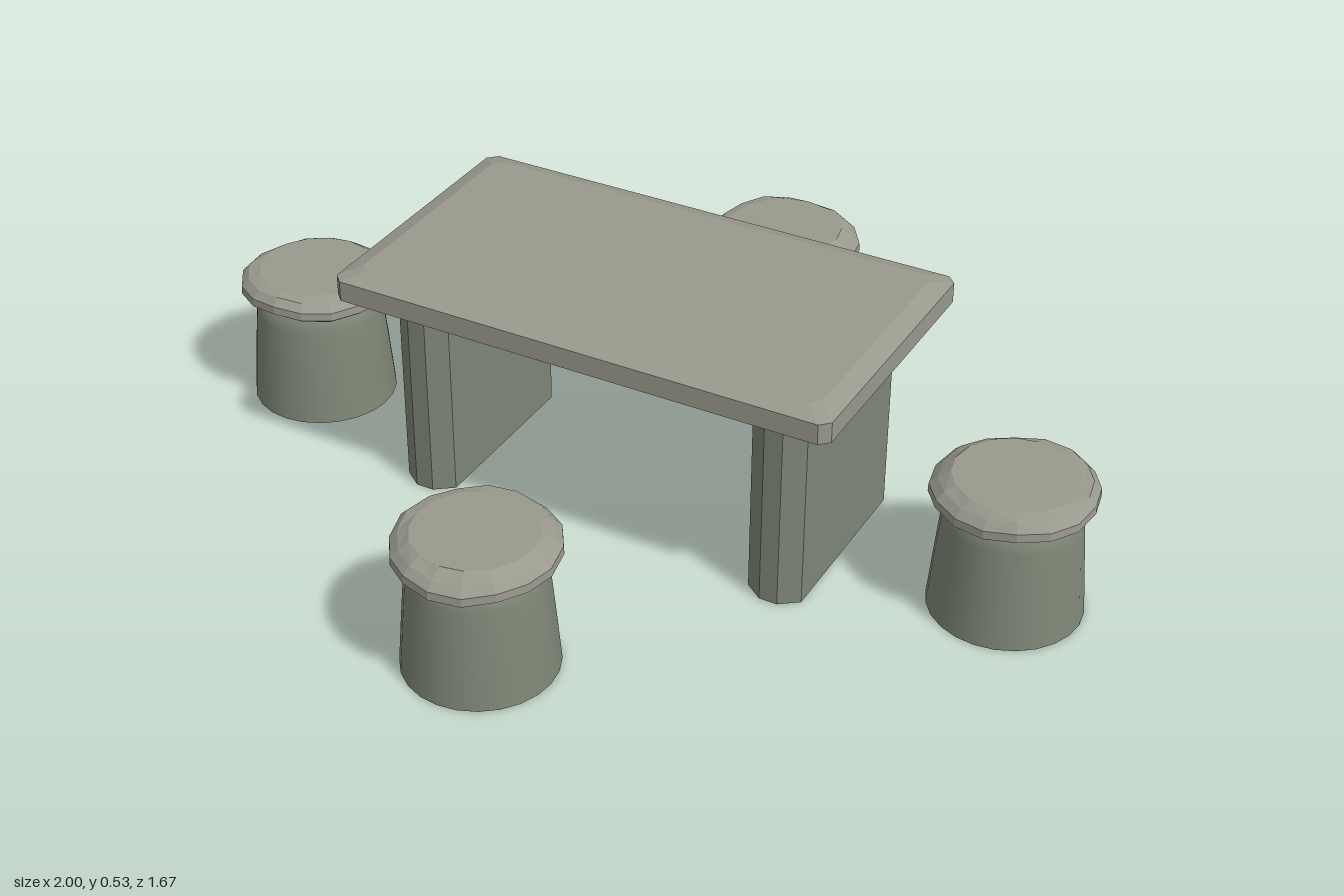
import * as THREE from 'three';
import { ConvexGeometry } from 'three/addons/geometries/ConvexGeometry.js';

const topStone = new THREE.MeshStandardMaterial({ color: 0x9a998d });
topStone.name = 'paleStone';
const baseStone = new THREE.MeshStandardMaterial({ color: 0x7f8777 });
baseStone.name = 'greenStone';

// Octagonal ring: a rectangle with cut corners (half sizes hx, hz; cuts cx, cz)
function ring(y, hx, hz, cx, cz) {
  const points = [];
  for (const sx of [-1, 1]) {
    for (const sz of [-1, 1]) {
      points.push(new THREE.Vector3(sx * hx, y, sz * (hz - cz)));
      points.push(new THREE.Vector3(sx * (hx - cx), y, sz * hz));
    }
  }
  return points;
}

// Chamfered stone block from a stack of rings
function block(name, rings, material) {
  const mesh = new THREE.Mesh(new ConvexGeometry(rings.flatMap((r) => ring(...r))), material);
  mesh.name = name;
  return mesh;
}

function lathe(name, profile, segments, material) {
  const points = profile.map(([r, y]) => new THREE.Vector2(r, y));
  const mesh = new THREE.Mesh(new THREE.LatheGeometry(points, segments), material);
  mesh.name = name;
  return mesh;
}

// Stool: tapered drum under a worn, uneven round seat
function stool(x, z, phase) {
  const group = new THREE.Group();
  group.name = 'stool';
  const drum = lathe('stoolBase', [
    [0, 0], [0.16, 0], [0.16, 0], [0.15, 0.12], [0.141, 0.22],
    [0.134, 0.248], [0.115, 0.268], [0, 0.27],
  ], 24, baseStone);

  const seat = lathe('stoolSeat', [
    [0, 0.262], [0.11, 0.259], [0.155, 0.258], [0.169, 0.268],
    [0.168, 0.286], [0.152, 0.302], [0.128, 0.312], [0, 0.312],
  ], 16, topStone);
  // Uneven chipped rim; the waves close up around the seat
  const p = seat.geometry.attributes.position;
  for (let i = 0; i < p.count; i++) {
    const r = Math.hypot(p.getX(i), p.getZ(i));
    if (r < 0.14) continue;
    const a = Math.atan2(p.getZ(i), p.getX(i)) + phase;
    p.setY(i, p.getY(i) + 0.006 * Math.sin(a) + 0.003 * Math.sin(5 * a));
    const s = 1 + 0.012 * Math.sin(3 * a);
    p.setX(i, p.getX(i) * s);
    p.setZ(i, p.getZ(i) * s);
  }
  seat.geometry = seat.geometry.toNonIndexed();
  seat.geometry.computeVertexNormals();
  group.add(drum, seat);
  group.position.set(x, 0, z);
  return group;
}

export function createModel() {
  const model = new THREE.Group();
  model.name = 'stoneTableAndStools';

  // Table slab
  model.add(block('tableTop', [
    [0.458, 0.53, 0.26, 0.02, 0.02],
    [0.473, 0.56, 0.31, 0.02, 0.02],
    [0.518, 0.56, 0.31, 0.02, 0.02],
    [0.532, 0.52, 0.27, 0.02, 0.02],
  ], topStone));

  // Upright slab legs
  for (const side of [-1, 1]) {
    const leg = block('tableLeg', [
      [0, 0.06, 0.232, 0.04, 0.03],
      [0.42, 0.06, 0.232, 0.04, 0.03],
      [0.44, 0.045, 0.215, 0.025, 0.02],
      [0.45, 0.02, 0.195, 0.01, 0.01],
    ], baseStone);
    leg.position.x = side * 0.412;
    model.add(leg);
  }

  // One stool on each side
  [[-0.83, 0], [0.83, 0], [0, 0.665], [0, -0.665]].forEach(([x, z], i) => {
    model.add(stool(x, z, i * 1.7));
  });

  return model;
}
